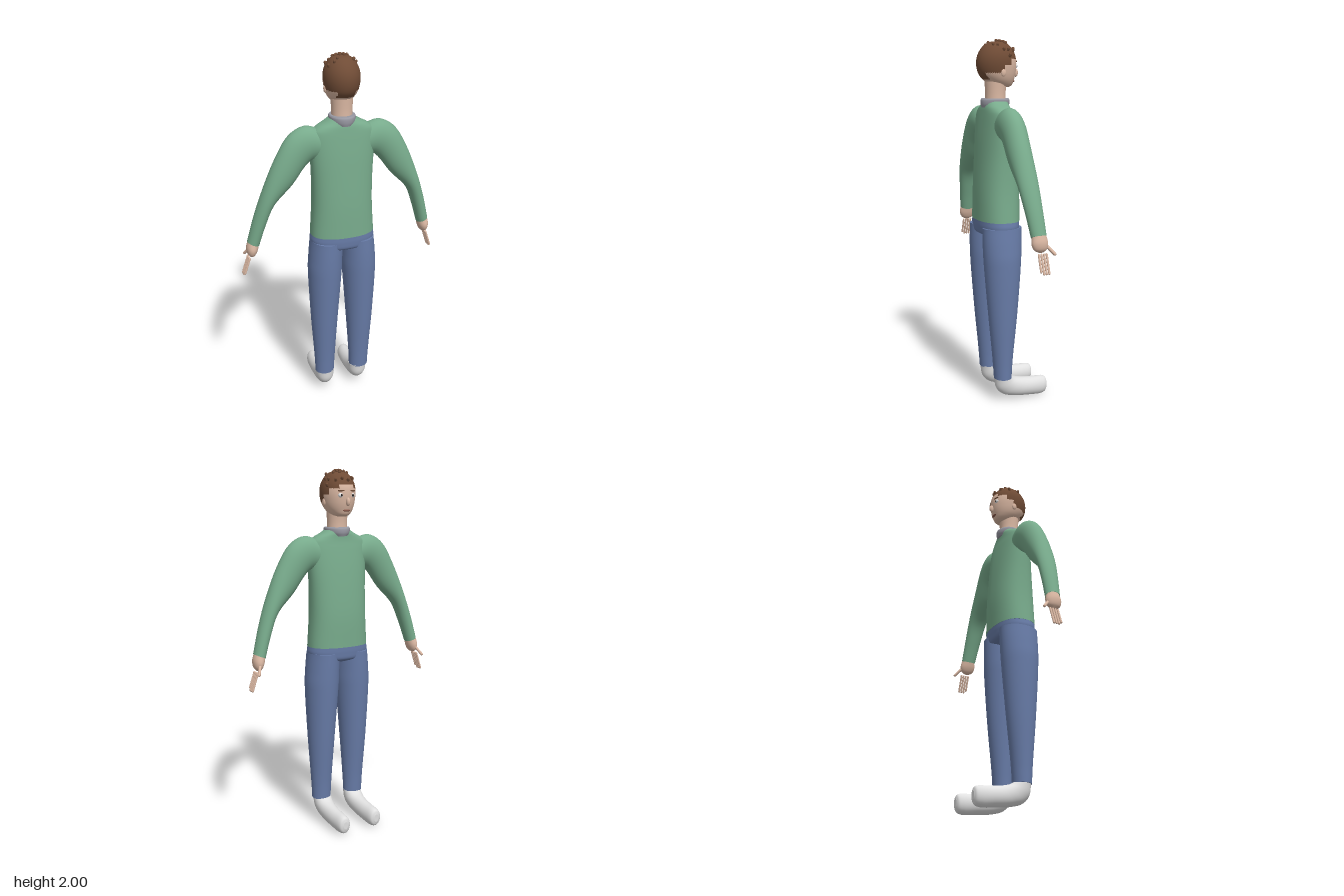
import * as THREE from 'three';

const mat = (name, color) => {
  const m = new THREE.MeshStandardMaterial({ color });
  m.name = name;
  return m;
};

// Smooth closed tube through rings. Each ring: [ax,ay,az, bx,by,bz, w], where a and b are
// opposite edge points and w is the half width along axis. Power below 1 makes rings boxier.
function loft(rings, axis, { sides = 32, steps = 5, power = 1, pick } = {}) {
  const curve = f => new THREE.CatmullRomCurve3(rings.map(f));
  const A = curve(r => new THREE.Vector3(r[0], r[1], r[2]));
  const B = curve(r => new THREE.Vector3(r[3], r[4], r[5]));
  const W = curve((r, i) => new THREE.Vector3(r[6], i, 0));
  const n = (rings.length - 1) * steps, pos = [];
  const bend = v => Math.sign(v) * Math.abs(v) ** power;
  for (let i = 0; i <= n; i++) {
    const a = A.getPoint(i / n), b = B.getPoint(i / n), w = W.getPoint(i / n).x;
    const c = a.clone().add(b).multiplyScalar(0.5), v = a.sub(b).multiplyScalar(0.5);
    for (let j = 0; j < sides; j++) {
      const t = j / sides * Math.PI * 2;
      pos.push(...c.clone().addScaledVector(v, bend(Math.cos(t))).addScaledVector(axis, w * bend(Math.sin(t))));
    }
  }
  const tris = [];
  for (let i = 0; i < n; i++) for (let j = 0; j < sides; j++) {
    const k = (j + 1) % sides, p = i * sides;
    tris.push([p + j, p + k, p + sides + j], [p + k, p + sides + k, p + sides + j]);
  }
  // separate end caps
  for (const [row, flip] of [[0, true], [n, false]]) {
    const base = pos.length / 3, ring = pos.slice(row * sides * 3, (row + 1) * sides * 3);
    pos.push(...ring);
    for (let j = 1; j < sides - 1; j++) tris.push(flip ? [base, base + j + 1, base + j] : [base, base + j, base + j + 1]);
  }
  const P = i => new THREE.Vector3(pos[i * 3], pos[i * 3 + 1], pos[i * 3 + 2]);
  const volume = tris.reduce((s, [a, b, c]) => s + P(a).dot(P(b).cross(P(c))), 0);
  if (volume < 0) tris.forEach(t => t.reverse());
  const geo = new THREE.BufferGeometry();
  geo.setAttribute('position', new THREE.Float32BufferAttribute(pos, 3));
  if (pick) {
    const centre = t => P(t[0]).add(P(t[1])).add(P(t[2])).divideScalar(3);
    const on = tris.filter(t => pick(centre(t))), off = tris.filter(t => !pick(centre(t)));
    geo.setIndex([...off, ...on].flat());
    geo.addGroup(0, off.length * 3, 0);
    geo.addGroup(off.length * 3, on.length * 3, 1);
  } else geo.setIndex(tris.flat());
  geo.computeVertexNormals();
  return geo;
}

const X = new THREE.Vector3(1, 0, 0), Z = new THREE.Vector3(0, 0, 1);
// level rings [y, back z, front z, half width], centred on cx
const level = (rows, cx = 0) => rows.map(([y, zb, zf, w]) => [cx, y, zb, cx, y, zf, w]);

export function createModel() {
  const root = new THREE.Group();
  const green = mat('sweater green', 0x78ab8c), blue = mat('jeans blue', 0x687ca8);
  const skin = mat('skin', 0xdcb9a4), brown = mat('hair brown', 0x704c36);
  const white = mat('shoe white', 0xe0e0e0), grey = mat('collar grey', 0x9898a2);
  const dark = mat('pupil dark', 0x2c2624), lip = mat('lip', 0x8a5a4c);
  const add = (name, geo, m, parent = root) => {
    const mesh = new THREE.Mesh(geo, m);
    mesh.name = name;
    parent.add(mesh);
    return mesh;
  };
  const ball = (name, m, r, x, y, z, sx = 1, sy = 1, sz = 1, parent = root) => {
    const b = add(name, new THREE.SphereGeometry(r, 16, 12), m, parent);
    b.position.set(x, y, z);
    b.scale.set(sx, sy, sz);
    return b;
  };
  const rod = (name, m, r, from, to, parent) => {
    const a = new THREE.Vector3(...from), d = new THREE.Vector3(...to).sub(a), len = d.length();
    const c = add(name, new THREE.CapsuleGeometry(r, Math.max(len - 2 * r, 0.001), 4, 8), m, parent);
    c.position.copy(a).addScaledVector(d, 0.5);
    c.quaternion.setFromUnitVectors(new THREE.Vector3(0, 1, 0), d.normalize());
  };

  // Torso, hips, collar and neck
  add('sweater', loft(level([
    [1.035, 0.19, -0.035, 0.176], [1.2, 0.187, -0.036, 0.166], [1.35, 0.178, -0.025, 0.166], [1.48, 0.168, -0.01, 0.172],
    [1.57, 0.158, 0.004, 0.175], [1.615, 0.152, 0.012, 0.165], [1.64, 0.148, 0.014, 0.135], [1.657, 0.143, 0.014, 0.1], [1.675, 0.135, 0.018, 0.07],
  ]), X, { power: 0.85, sides: 48 }), green);
  add('hips', loft(level([
    [1.036, 0.189, -0.034, 0.175], [1.0, 0.188, -0.032, 0.178], [0.965, 0.18, -0.024, 0.16], [0.945, 0.14, 0.02, 0.1],
  ]), X, { power: 0.85, sides: 48 }), blue);
  add('collar', loft(level([
    [1.642, 0.153, 0.004, 0.055], [1.66, 0.157, -0.002, 0.067], [1.682, 0.156, -0.001, 0.07], [1.69, 0.15, 0.005, 0.066],
  ]), X), grey);
  add('neck', loft(level([[1.66, 0.13, 0.02, 0.055], [1.72, 0.13, 0.02, 0.055], [1.8, 0.135, 0.01, 0.06]]), X), skin);

  // Head, with the hair as faces above a stepped hairline
  const isHair = p => {
    if (p.z > 0.1 && Math.abs(p.x) < 0.047) return p.y > 1.79;
    if (p.z > 0.055) return p.y > 1.822;
    if (p.z > 0.02) return p.y > 1.865;
    return p.y > (Math.abs(p.x) > 0.045 ? 1.895 : 1.915);
  };
  add('head', loft(level([
    [1.748, 0.085, 0.0, 0.03], [1.758, 0.105, -0.016, 0.05], [1.785, 0.14, -0.027, 0.072], [1.82, 0.168, -0.036, 0.086],
    [1.87, 0.179, -0.04, 0.094], [1.915, 0.172, -0.034, 0.09], [1.955, 0.148, -0.012, 0.072], [1.98, 0.116, 0.018, 0.045], [1.988, 0.075, 0.06, 0.008],
  ]), X, { sides: 64, steps: 8, pick: isHair }), [skin, brown]);

  // Hair tufts: a crown cluster and scattered curls, set on the skull at (x, z)
  const tuft = (x, z) => {
    const q = Math.min((x / 0.095) ** 2 + ((z - 0.07) / 0.11) ** 2, 0.95);
    const y = 1.875 + 0.112 * Math.sqrt(1 - q);
    rod('hairTuft', brown, 0.008, [x, y - 0.008, z], [x * 1.12, y + 0.013, z + (z - 0.07) * 0.12], root);
  };
  for (let i = 0; i < 14; i++) {
    const a = i * 2.4, r = 0.011 * Math.sqrt(i);
    tuft(r * Math.cos(a), 0.048 + r * 0.75 * Math.sin(a));
  }
  [[-0.07, 0.04], [-0.072, 0.095], [0.07, 0.035], [0.083, 0.03], [0.055, 0.085], [0.045, 0.105], [-0.03, 0.1], [-0.048, 0.108],
    [0.02, -0.012], [0.05, 0.0], [-0.04, 0.0], [-0.01, -0.02], [0.075, 0.06]].forEach(p => tuft(...p));

  // Face, looking toward -z
  ball('nose', skin, 0.012, 0, 1.825, -0.043, 0.9, 1.9, 1.2);
  ball('mouth', lip, 0.022, 0, 1.78, -0.026, 1, 0.28, 0.35);

  for (const s of [1, -1]) {
    const side = new THREE.Group();
    side.name = s > 0 ? 'leftSide' : 'rightSide';
    root.add(side);
    ball('eye', white, 0.014, s * 0.035, 1.86, -0.026, 1.1, 0.9, 0.8, side);
    ball('pupil', dark, 0.006, s * 0.035, 1.86, -0.036, 1, 1, 0.5, side);
    rod('eyebrow', brown, 0.004, [s * 0.018, 1.884, -0.036], [s * 0.052, 1.884, -0.026], side);
    ball('ear', skin, 0.018, s * 0.086, 1.825, 0.065, 0.45, 1.2, 0.8, side);

    // Sleeve and hand: outer and inner edge points in the xy plane, depth along z
    const limb = rows => loft(rows.map(([ax, ay, bx, by, z, w]) => [s * ax, ay, z, s * bx, by, z, w]), Z);
    add('sleeve', limb([
      [0.1, 1.615, 0.09, 1.46, 0.08, 0.055], [0.2, 1.646, 0.165, 1.465, 0.08, 0.063], [0.285, 1.605, 0.2, 1.44, 0.08, 0.064],
      [0.36, 1.49, 0.276, 1.342, 0.081, 0.062], [0.435, 1.315, 0.377, 1.236, 0.075, 0.055], [0.485, 1.17, 0.425, 1.12, 0.065, 0.047], [0.522, 1.035, 0.46, 1.01, 0.055, 0.041],
    ]), green, side);
    add('hand', limb([
      [0.52, 1.038, 0.461, 1.013, 0.054, 0.038], [0.529, 0.998, 0.471, 0.978, 0.053, 0.044],
      [0.525, 0.965, 0.486, 0.952, 0.051, 0.034], [0.513, 0.947, 0.503, 0.943, 0.05, 0.01],
    ]), skin, side);
    for (let i = 0; i < 4; i++) {
      const z = 0.023 + i * 0.0145, drop = i === 3 ? 0.012 : 0;
      rod('finger', skin, 0.006, [s * 0.515, 0.942, z], [s * (0.55 - drop / 3), 0.838 + drop, z], side);
    }
    rod('thumb', skin, 0.008, [s * 0.5, 0.985, 0.025], [s * 0.53, 0.93, -0.022], side);

    // Trouser leg
    add('trouserLeg', loft([
      [1.0, 0.188, -0.032, 0.088, 0.09], [0.9, 0.188, -0.029, 0.092, 0.096], [0.8, 0.184, -0.024, 0.093, 0.1],
      [0.5, 0.161, 0.0, 0.076, 0.105], [0.25, 0.138, 0.025, 0.06, 0.105], [0.14, 0.13, 0.032, 0.055, 0.105],
    ].map(([y, zb, zf, w, cx]) => [s * cx, y, zb, s * cx, y, zf, w]), X), blue, side);

    // Shoe: sole and upper edge points in the yz plane, turning from ankle to toe
    add('shoe', loft([
      [0.145, 0.129, 0.145, 0.033, 0.053], [0.08, 0.118, 0.132, 0.008, 0.052], [0.043, 0.085, 0.124, -0.022, 0.049],
      [0.022, 0.025, 0.118, -0.055, 0.046], [0.008, -0.08, 0.112, -0.105, 0.044], [0.003, -0.155, 0.108, -0.165, 0.039],
      [0.012, -0.181, 0.1, -0.184, 0.031], [0.035, -0.191, 0.08, -0.191, 0.014],
    ].map(([ya, za, yb, zb, w]) => [s * 0.101, ya, za, s * 0.101, yb, zb, w]), X), white, side);
  }
  return root;
}
